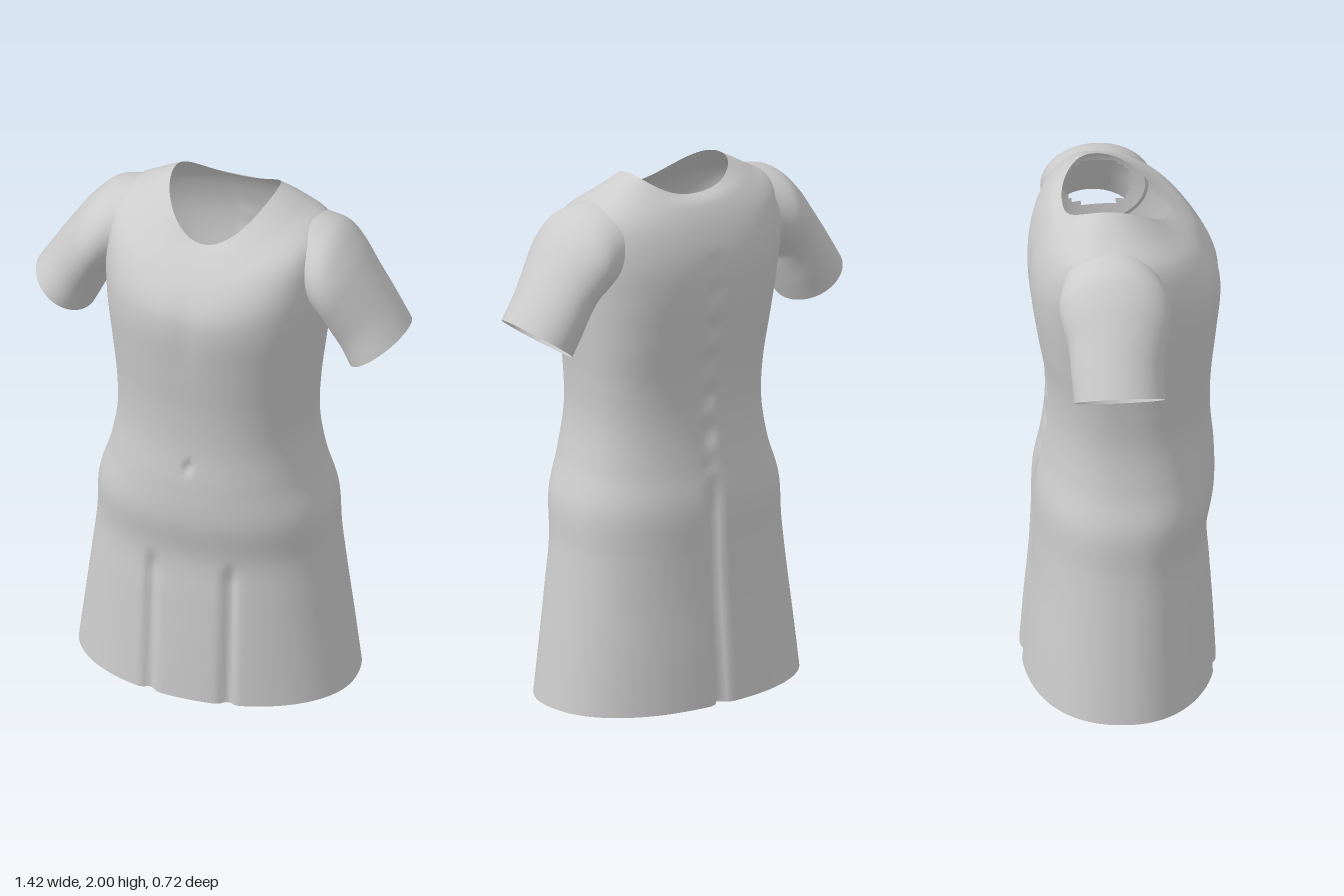
import * as THREE from 'three';

const fabric = new THREE.MeshStandardMaterial({ color: 0xcccccc, side: THREE.DoubleSide });
fabric.name = 'grey fabric';

// Smooth interpolation through a list of number rows, t in 0..1
function sampleRows(rows, t) {
  const f = Math.min(t * (rows.length - 1), rows.length - 1.0001);
  const i = Math.floor(f), k = f - i;
  const row = (n) => rows[Math.max(0, Math.min(rows.length - 1, n))];
  return rows[i].map((p1, c) => {
    const p0 = row(i - 1)[c], p2 = row(i + 1)[c], p3 = row(i + 2)[c];
    const m1 = (p2 - p0) / 2, m2 = (p3 - p1) / 2, d = p1 - p2;
    return p1 + k * (m1 + k * (-3 * d - 2 * m1 - m2 + k * (2 * d + m1 + m2)));
  });
}

// Closed-ring loft; pointAt(t, angle) gives [x, y, z]; skip(x, y, z) leaves openings
function loft(name, steps, around, pointAt, skip = () => false) {
  const pos = [], index = [];
  for (let j = 0; j <= steps; j++)
    for (let i = 0; i < around; i++) pos.push(...pointAt(j / steps, (i / around) * Math.PI * 2));
  for (let j = 0; j < steps; j++)
    for (let i = 0; i < around; i++) {
      const a = j * around + i, b = j * around + (i + 1) % around;
      if (skip(pos[a * 3], pos[a * 3 + 1], pos[a * 3 + 2])) continue;
      index.push(a, a + around, b, b, a + around, b + around);
    }
  const geo = new THREE.BufferGeometry();
  geo.setAttribute('position', new THREE.Float32BufferAttribute(pos, 3));
  geo.setIndex(index);
  geo.computeVertexNormals();
  const mesh = new THREE.Mesh(geo, fabric);
  mesh.name = name;
  return mesh;
}

const bump = (v, c, r) => Math.exp(-(((v - c) / r) ** 2));
const fade = THREE.MathUtils.smoothstep;

// half width, side z, front z, back z, side y, front y, back y, front and back roundness
const level = (w, zf, zb, y, nf, nb) => [w, 0, zf, zb, y, y, y, nf, nb];
const bodyRows = [
  level(0.525, 0.345, -0.36, 0, 2.05, 2.3),
  level(0.5, 0.335, -0.345, 0.2, 2.05, 2.3),
  level(0.474, 0.322, -0.328, 0.4, 2.1, 2.3),
  level(0.452, 0.312, -0.32, 0.58, 2.15, 2.3),
  level(0.44, 0.338, -0.315, 0.75, 2.2, 2.3),
  level(0.395, 0.338, -0.288, 0.9, 2.2, 2.3),
  level(0.367, 0.325, -0.27, 1.06, 2.2, 2.4),
  level(0.37, 0.329, -0.275, 1.22, 2.2, 2.5),
  level(0.388, 0.348, -0.305, 1.4, 2.2, 2.6),
  level(0.405, 0.364, -0.328, 1.57, 2.2, 2.7),
  [0.415, -0.03, 0.348, -0.326, 1.74, 1.67, 1.7, 2.2, 2.7],
  [0.395, -0.06, 0.287, -0.298, 1.875, 1.765, 1.81, 2.2, 2.5],
  [0.295, -0.08, 0.215, -0.255, 1.945, 1.83, 1.895, 2.1, 2.3],
  [0.2, -0.075, 0.17, -0.21, 2.0, 1.86, 1.927, 2, 2.4],
];

function bodyPoint(t, angle) {
  const [w, zc, zf, zb, ys, yf, yb, nf, nb] = sampleRows(bodyRows, t);
  const c = Math.cos(angle), s = Math.sin(angle), front = s >= 0;
  const n = front ? nf : nb;
  const x = w * Math.sign(c) * Math.abs(c) ** (2 / n);
  const y = ys + ((front ? yf : yb) - ys) * s * s;
  let z = zc + ((front ? zf : zb) - zc) * Math.abs(s) ** (2 / n);
  if (front && s > 0.3) {
    z -= 0.022 * bump(Math.abs(x), 0.15, 0.022) * (1 - fade(y, 0.5, 0.6)); // skirt pleats
    z -= 0.018 * bump(x, 0, 0.013) * bump(y, 0.99, 0.025);                 // navel
    z -= 0.006 * bump(x, 0, 0.05) * bump(y, 1.6, 0.15);                    // chest hollow
  } else if (s < -0.3) {
    z += 0.035 * bump(x, 0, 0.022) * (1 - fade(y, 0.7, 0.88));             // back pleat
    z += (0.009 + 0.006 * Math.sin(y * 45)) * bump(x, 0, 0.03)
      * fade(y, 0.85, 0.95) * (1 - fade(y, 1.6, 1.75));                    // spine
  }
  return [x, y, z];
}

// outer x, outer y, under x, under y, front z, back z
const sleeveRows = [
  [0.33, 1.92, 0.37, 1.6, 0.12, -0.24],
  [0.435, 1.893, 0.4, 1.575, 0.15, -0.255],
  [0.51, 1.825, 0.42, 1.55, 0.152, -0.245],
  [0.575, 1.735, 0.44, 1.5, 0.135, -0.228],
  [0.645, 1.625, 0.47, 1.435, 0.115, -0.222],
  [0.71, 1.52, 0.502, 1.37, 0.115, -0.215],
];

function sleeve(name, side) {
  return loft(name, 32, 64, (t, angle) => {
    const [ox, oy, ux, uy, zf, zb] = sampleRows(sleeveRows, t);
    const c = Math.cos(angle) / 2, s = -side * Math.sin(angle) / 2;
    return [
      side * ((ox + ux) / 2 + (ox - ux) * c),
      (oy + uy) / 2 + (oy - uy) * c,
      (zf + zb) / 2 + (zf - zb) * s,
    ];
  });
}

export function createModel() {
  const tunic = new THREE.Group();
  tunic.name = 'tunic';
  // Body and skirt, open at neck, hem and armholes
  const armhole = (x, y, z) =>
    Math.abs(x) > 0.375 && ((y - 1.735) / 0.1) ** 2 + ((z + 0.05) / 0.13) ** 2 < 1;
  tunic.add(loft('body', 117, 192, bodyPoint, armhole));
  tunic.add(sleeve('leftSleeve', 1), sleeve('rightSleeve', -1));
  return tunic;
}
